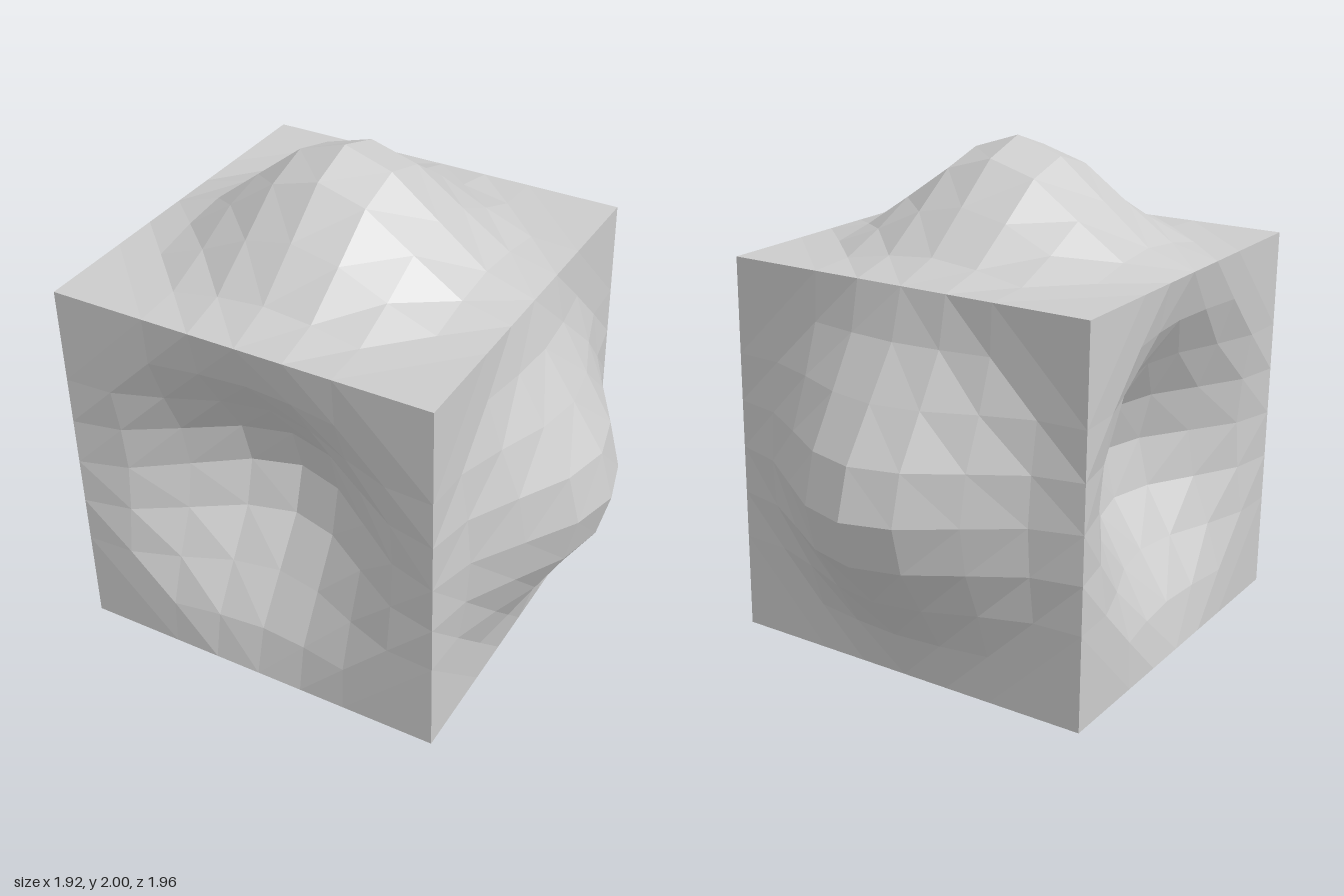
import * as THREE from 'three';

const SIDE = 1.564, N = 8;
const material = new THREE.MeshStandardMaterial({ color: 0xcccccc, flatShading: true });

// Square panel facing +z with a round raised-cosine swell (negative height = hollow)
function swellPanel(height) {
  const geo = new THREE.PlaneGeometry(SIDE, SIDE, N, N);
  const p = geo.attributes.position;
  for (let i = 0; i < p.count; i++) {
    const r = Math.min(1, Math.hypot(p.getX(i), p.getY(i)) / (SIDE / 2));
    p.setZ(i, height * (1 + Math.cos(Math.PI * r)) / 2);
  }
  // Cell diagonals run around the centre, mirrored in each quadrant
  const index = [];
  for (let row = 0; row < N; row++) {
    for (let col = 0; col < N; col++) {
      const a = row * (N + 1) + col, b = a + N + 1, c = b + 1, d = a + 1;
      if ((row < N / 2) === (col < N / 2)) index.push(a, b, d, b, c, d);
      else index.push(a, b, c, a, c, d);
    }
  }
  geo.setIndex(index);
  const flat = geo.toNonIndexed();
  flat.computeVertexNormals();
  return flat;
}

export function createModel() {
  const group = new THREE.Group();
  group.name = 'interlockingCube';
  const h = SIDE / 2, q = Math.PI / 2;

  // name, swell height, rotation about x, rotation about y
  const panels = [
    ['topBulge', 0.436, -q, 0],
    ['bottomHollow', -0.436, q, 0],
    ['leftBulge', 0.357, 0, q],
    ['rightHollow', -0.357, 0, -q],
    ['backBulge', 0.394, 0, 2 * q],
    ['frontHollow', -0.394, 0, 0],
  ];
  for (const [name, height, rx, ry] of panels) {
    const mesh = new THREE.Mesh(swellPanel(height), material);
    mesh.name = name;
    mesh.rotation.set(rx, ry, 0);
    mesh.position.set(0, 0, h).applyEuler(mesh.rotation);
    group.add(mesh);
  }

  // Offset so the whole outline, bulges included, is centred
  group.position.set(-0.357 / 2, h, 0.394 / 2);
  return group;
}
